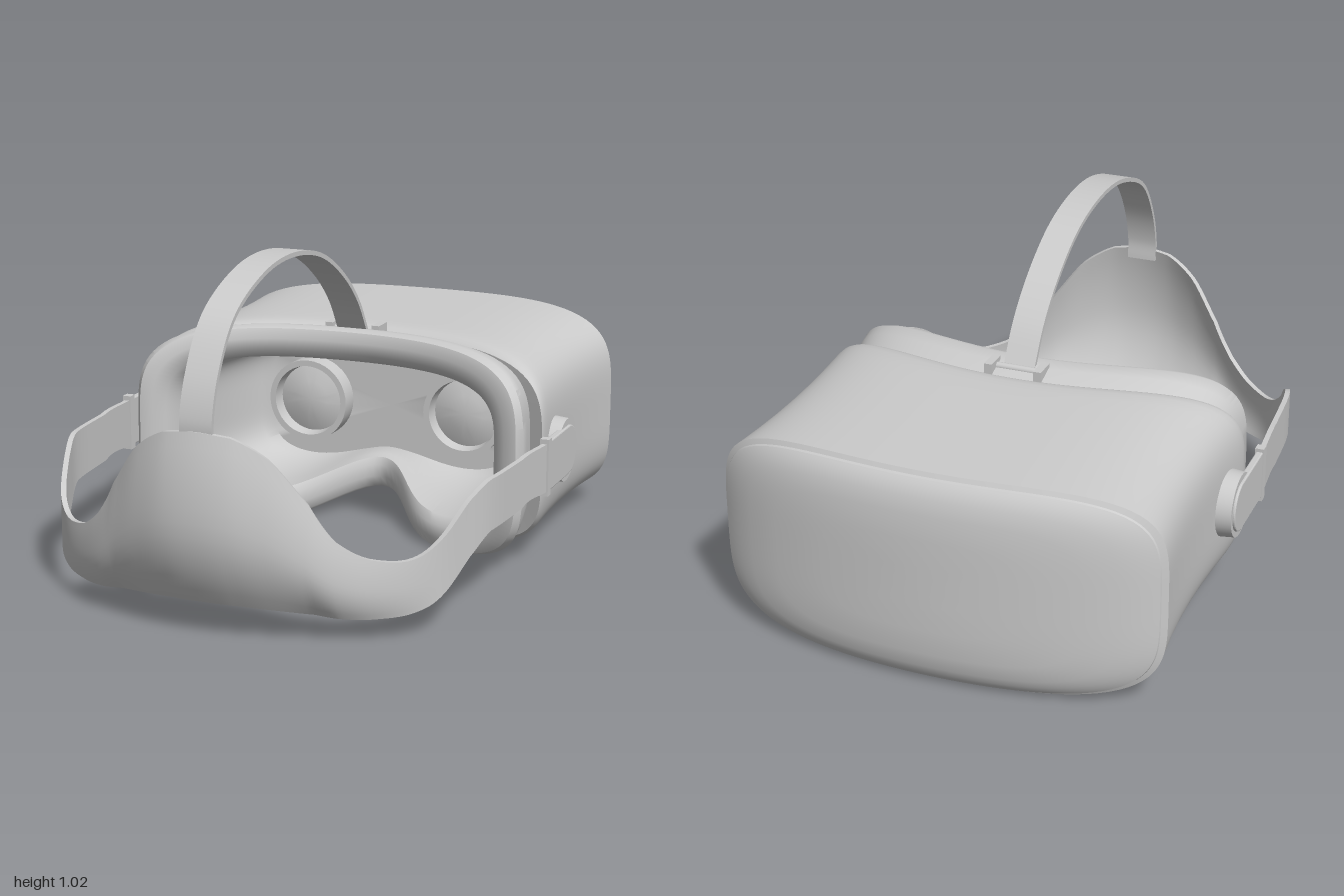
import * as THREE from 'three';
import { toCreasedNormals } from 'three/addons/utils/BufferGeometryUtils.js';

const material = new THREE.MeshStandardMaterial({ color: 0xcccccc, side: THREE.DoubleSide });

function addMesh(parent, name, geometry) {
  const mesh = new THREE.Mesh(geometry, material);
  mesh.name = name;
  parent.add(mesh);
  return mesh;
}

// Skin a list of closed rings, each an array of Vector3
function loft(rings, crease = 0.6) {
  const n = rings[0].length;
  const index = [];
  for (let i = 0; i < rings.length - 1; i++) {
    for (let j = 0; j < n; j++) {
      const k = (j + 1) % n;
      const a = i * n + j, b = i * n + k, c = (i + 1) * n + k, d = (i + 1) * n + j;
      index.push(a, d, c, a, c, b);
    }
  }
  const geometry = new THREE.BufferGeometry().setFromPoints(rings.flat());
  geometry.setIndex(index);
  return toCreasedNormals(geometry, crease);
}

// Rounded-rectangle ring, bowed in z across its width, with a nose notch at the bottom centre
function visorRing(a, b, z, bow, notch = 0, lift = 0) {
  const ring = [];
  const sides = 160, power = 4.3;
  for (let i = 0; i < sides; i++) {
    const t = (i / sides) * Math.PI * 2;
    const c = Math.cos(t), s = Math.sin(t);
    const r = (Math.abs(c) ** power + Math.abs(s) ** power) ** (-1 / power);
    const x = a * c * r;
    const nose = s < 0 ? Math.exp(-((x / 0.19) ** 2)) * Math.min(1, -s * 1.5) : 0;
    ring.push(new THREE.Vector3(x, 0.345 + b * s * r + lift * nose, z + bow * (x / 0.69) ** 2 - notch * nose));
  }
  return ring;
}

function buildVisor(group) {
  // Lens plate, inner wall and soft rim that meets the face
  addMesh(group, 'faceGasket', loft([
    visorRing(0, 0, -0.56, 0),
    visorRing(0.44, 0.21, -0.56, 0, 0, 0.06),
    visorRing(0.47, 0.225, -0.53, 0, 0.02, 0.08),
    visorRing(0.53, 0.235, -0.3, 0.1, 0.2, 0.08),
    visorRing(0.54, 0.24, -0.16, 0.2, 0.31, 0.08),
    visorRing(0.565, 0.265, -0.137, 0.235, 0.32, 0.08),
    visorRing(0.6, 0.305, -0.13, 0.24, 0.33, 0.08),
    visorRing(0.64, 0.337, -0.142, 0.23, 0.33, 0.08),
    visorRing(0.657, 0.345, -0.165, 0.22, 0.32, 0.08),
    visorRing(0.65, 0.338, -0.21, 0.21, 0.3, 0.07),
    visorRing(0.63, 0.31, -0.3, 0.2, 0.27, 0.06),
  ], 0.8));

  // Outer shell, slightly waisted between its rear lip and front edge
  const shell = [visorRing(0.62, 0.29, -0.27, 0.2, 0.28, 0.06)];
  for (const v of [0, 0.015, 0.04, 0.08, 0.15, 0.25, 0.4, 0.55, 0.7, 0.85, 0.97, 1]) {
    const lip = 0.02 * Math.exp(-v / 0.03);
    shell.push(visorRing(0.667 + 0.024 * (2 * v - 1) ** 2 - lip * 0.4, 0.336 - lip,
      -0.27 - 0.67 * v, 0.2 - 0.09 * v, 0.28 * (1 - v), 0.06 * (1 - v) ** 2));
  }
  shell.push(visorRing(0.672, 0.32, -0.948, 0.11));
  addMesh(group, 'visorShell', loft(shell));

  // Bulging front cover behind a narrow seam
  const cover = [visorRing(0.665, 0.315, -0.94, 0.11), visorRing(0.675, 0.325, -0.95, 0.11)];
  for (const s of [1, 0.985, 0.96, 0.92, 0.85, 0.7, 0.45, 0.2, 0]) {
    cover.push(visorRing(0.673 * s, 0.323 * s, -1 + 0.04 * s ** 7, 0.115));
  }
  addMesh(group, 'frontCover', loft(cover));

  // Lens barrels with shallow domed lenses
  const profile = [[0, 0.035], [0.06, 0.03], [0.115, 0.012], [0.12, 0.06], [0.14, 0.06], [0.14, -0.02]]
    .map(([r, h]) => new THREE.Vector2(r, h)).reverse();
  for (const side of [-1, 1]) {
    const lens = addMesh(group, side > 0 ? 'leftLens' : 'rightLens',
      toCreasedNormals(new THREE.LatheGeometry(profile, 40), 0.5));
    lens.rotation.x = Math.PI / 2;
    lens.position.set(side * 0.28, 0.35, -0.55);
  }
}

function buildSideMounts(group) {
  // Rounded arm outline: shape x runs toward the visor front
  const outline = new THREE.Shape();
  outline.moveTo(0, -0.075);
  outline.lineTo(0.23, -0.075);
  outline.absarc(0.23, 0, 0.075, -Math.PI / 2, Math.PI / 2, false);
  outline.lineTo(0, 0.075);
  outline.closePath();
  const armGeometry = new THREE.ExtrudeGeometry(outline, {
    depth: 0.014, bevelEnabled: true, bevelSize: 0.004, bevelThickness: 0.004, bevelSegments: 2, curveSegments: 20,
  });
  armGeometry.rotateY(Math.PI / 2).translate(-0.007, 0, 0);

  for (const side of [-1, 1]) {
    const mount = new THREE.Group();
    mount.name = side > 0 ? 'leftMount' : 'rightMount';
    mount.position.set(side * 0.715, 0.347, 0);
    group.add(mount);

    addMesh(mount, 'strapArm', armGeometry);
    const pivot = addMesh(mount, 'pivotDisc', new THREE.CylinderGeometry(0.1, 0.106, 0.06, 40));
    pivot.rotation.z = -side * Math.PI / 2;
    pivot.position.set(-side * 0.027, 0, -0.225);
    addMesh(mount, 'strapClip', new THREE.BoxGeometry(0.028, 0.18, 0.03)).position.z = -0.01;
  }
}

function buildBackStrap(group) {
  // Half of the band, from the rear centre to the clip: x, z, top y, bottom y, lean
  const half = [
    [0, 0.985, 0.62, 0.11, 1], [0.1, 0.975, 0.61, 0.108, 1], [0.2, 0.94, 0.55, 0.1, 0.9],
    [0.3, 0.89, 0.42, 0.088, 0.8], [0.37, 0.85, 0.31, 0.08, 0.5], [0.45, 0.79, 0.255, 0.075, 0.3],
    [0.55, 0.7, 0.245, 0.085, 0.1], [0.605, 0.63, 0.29, 0.12, 0], [0.65, 0.52, 0.38, 0.21, 0],
    [0.68, 0.42, 0.42, 0.265, 0], [0.7, 0.2, 0.422, 0.27, 0], [0.715, 0, 0.422, 0.27, 0],
  ];
  const mirrored = half.slice(1).map(([x, ...rest]) => [-x, ...rest]);
  const stations = [...half].reverse().concat(mirrored);
  const path = new THREE.CatmullRomCurve3(stations.map(([x, z]) => new THREE.Vector3(x, 0, z)));
  const edges = new THREE.CatmullRomCurve3(stations.map(s => new THREE.Vector3(s[2], s[3], s[4])));

  const rings = [];
  const steps = 132, rows = 12;
  for (let i = 0; i <= steps; i++) {
    const p = path.getPoint(i / steps);
    const t = path.getTangent(i / steps);
    const e = edges.getPoint(i / steps);
    const outer = [], inner = [];
    for (let j = 0; j <= rows; j++) {
      const v = 1 - (2 * j) / rows;
      const y = THREE.MathUtils.lerp(e.y, e.x, (v + 1) / 2);
      const z = p.z - e.z * v * v * (v > 0 ? 0.035 : 0.085);
      outer.push(new THREE.Vector3(p.x + t.z * 0.008, y, z - t.x * 0.008));
      inner.unshift(new THREE.Vector3(p.x - t.z * 0.008, y, z + t.x * 0.008));
    }
    rings.push([...outer, ...inner]);
  }
  addMesh(group, 'backStrap', loft(rings));
}

function buildTopStrap(group) {
  // Flat band arching over the head
  const path = new THREE.CatmullRomCurve3([
    [0.58, 0.945], [0.65, 0.945], [0.77, 0.905], [0.91, 0.8], [1.0, 0.6], [1.024, 0.4],
    [0.99, 0.18], [0.9, 0], [0.79, -0.13], [0.66, -0.22],
  ].map(([y, z]) => new THREE.Vector3(0, y, z)));
  const rings = [];
  for (let i = 0; i <= 60; i++) {
    const p = path.getPoint(i / 60);
    const t = path.getTangent(i / 60);
    const corner = (x, d) => new THREE.Vector3(x, p.y - t.z * d, p.z + t.y * d);
    rings.push([corner(0.05, 0.007), corner(-0.05, 0.007), corner(-0.05, -0.007), corner(0.05, -0.007)]);
  }
  addMesh(group, 'topStrap', loft(rings));

  // Lugs and pin that hold the strap to the visor
  for (const side of [-1, 1]) {
    addMesh(group, 'strapLug', new THREE.BoxGeometry(0.025, 0.05, 0.07)).position.set(side * 0.08, 0.672, -0.235);
  }
  const pin = addMesh(group, 'strapPin', new THREE.CylinderGeometry(0.012, 0.012, 0.17, 16));
  pin.rotation.z = Math.PI / 2;
  pin.position.set(0, 0.675, -0.225);
}

export function createModel() {
  const group = new THREE.Group();
  group.name = 'headset';
  buildVisor(group);
  buildSideMounts(group);
  buildBackStrap(group);
  buildTopStrap(group);
  return group;
}
